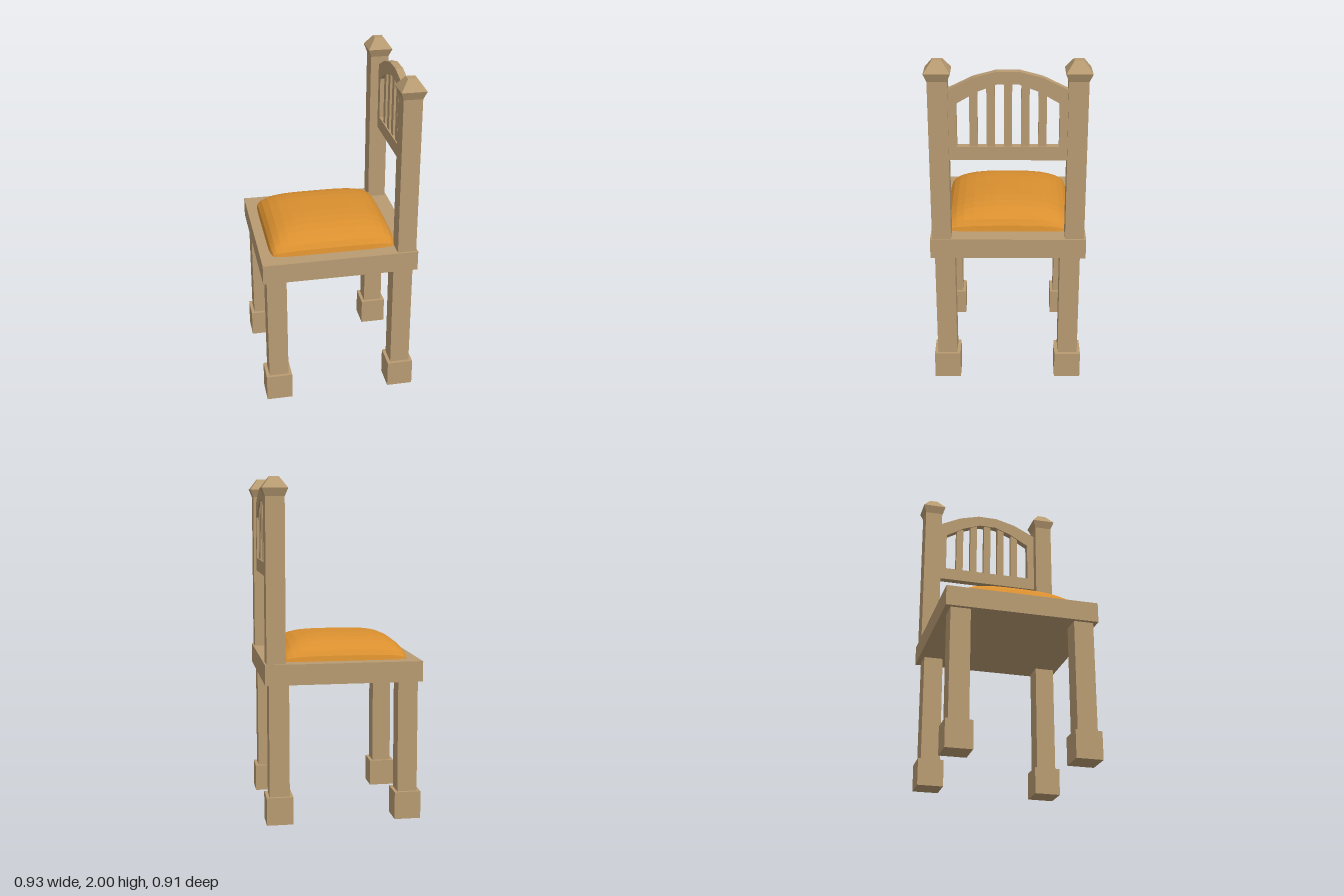
import * as THREE from 'three';

const wood = new THREE.MeshStandardMaterial({ color: 0xb89b72, flatShading: true });
const fabric = new THREE.MeshStandardMaterial({ color: 0xd98f2f, flatShading: true });

export function createModel() {
  const chair = new THREE.Group();
  chair.name = 'chair';

  const add = (name, geometry, x, y, z, material = wood) => {
    const mesh = new THREE.Mesh(geometry, material);
    mesh.name = name;
    mesh.position.set(x, y, z);
    chair.add(mesh);
    return mesh;
  };
  // Box given by its bottom height and top height
  const block = (name, w, d, y0, y1, x, z) =>
    add(name, new THREE.BoxGeometry(w, y1 - y0, d), x, (y0 + y1) / 2, z);

  // Seat slab
  block('seat', 0.92, 0.902, 0.825, 0.945, -0.005, 0);

  // Legs with block feet
  for (const x of [-0.384, 0.373]) {
    for (const z of [-0.361, 0.368]) {
      block('leg', 0.117, 0.117, 0.15, 0.83, x, z);
      block('foot', 0.156, 0.156, 0, 0.163, x, z);
    }
  }

  // Back posts with flared, square caps
  const capProfile = [[0, 1.89], [0.055, 1.89], [0.073, 1.937], [0.027, 2], [0, 2]]
    .map(([half, y]) => new THREE.Vector2(half * Math.SQRT2, y));
  for (const z of [-0.384, 0.384]) {
    block('backPost', 0.11, 0.11, 0.94, 1.9, 0.39, z);
    add('postCap', new THREE.LatheGeometry(capProfile, 4, Math.PI / 4), 0.39, 0, z);
  }

  // Arched back frame, drawn in the z-y plane with one opening
  const outline = (Type, bottom, arch) => {
    const half = arch[0][0];
    const points = [[-half, bottom], [half, bottom], ...arch,
      ...arch.map(([z, y]) => [-z, y]).reverse()];
    return new Type(points.map(([z, y]) => new THREE.Vector2(z, y)));
  };
  const frame = outline(THREE.Shape, 1.43, [[0.335, 1.837], [0.19, 1.908], [0.062, 1.942]]);
  frame.holes.push(outline(THREE.Path, 1.51, [[0.283, 1.762], [0.167, 1.83], [0.056, 1.872]]));
  const frameGeometry = new THREE.ExtrudeGeometry(frame, { depth: 0.045, bevelEnabled: false });
  frameGeometry.rotateY(-Math.PI / 2);
  add('backFrame', frameGeometry, 0.43, 0, 0);

  // Upright slats reaching into the arch
  for (let i = -2; i <= 2; i++) {
    block('backSlat', 0.03, 0.046, 1.49, 1.88 - 0.014 * i * i, 0.4075, i * 0.095);
  }

  // Domed cushion: a grid, denser at its rim, raised by a rounded height rule
  const cushion = new THREE.PlaneGeometry(2, 2, 16, 16).rotateX(-Math.PI / 2);
  const p = cushion.attributes.position;
  for (let i = 0; i < p.count; i++) {
    const u = Math.sin(p.getX(i) * Math.PI / 2);
    const v = Math.sin(p.getZ(i) * Math.PI / 2);
    const rise = Math.sqrt(Math.max(0, (1 - u ** 4) * (1 - Math.abs(v) ** 3)));
    const pinch = 1 - 0.05 * Math.abs(u * v) ** 8;
    p.setXYZ(i, 0.378 * u * pinch, 0.137 * rise, 0.367 * v * pinch);
  }
  cushion.computeVertexNormals();
  add('cushion', cushion, -0.027, 0.943, 0, fabric);

  return chair;
}
